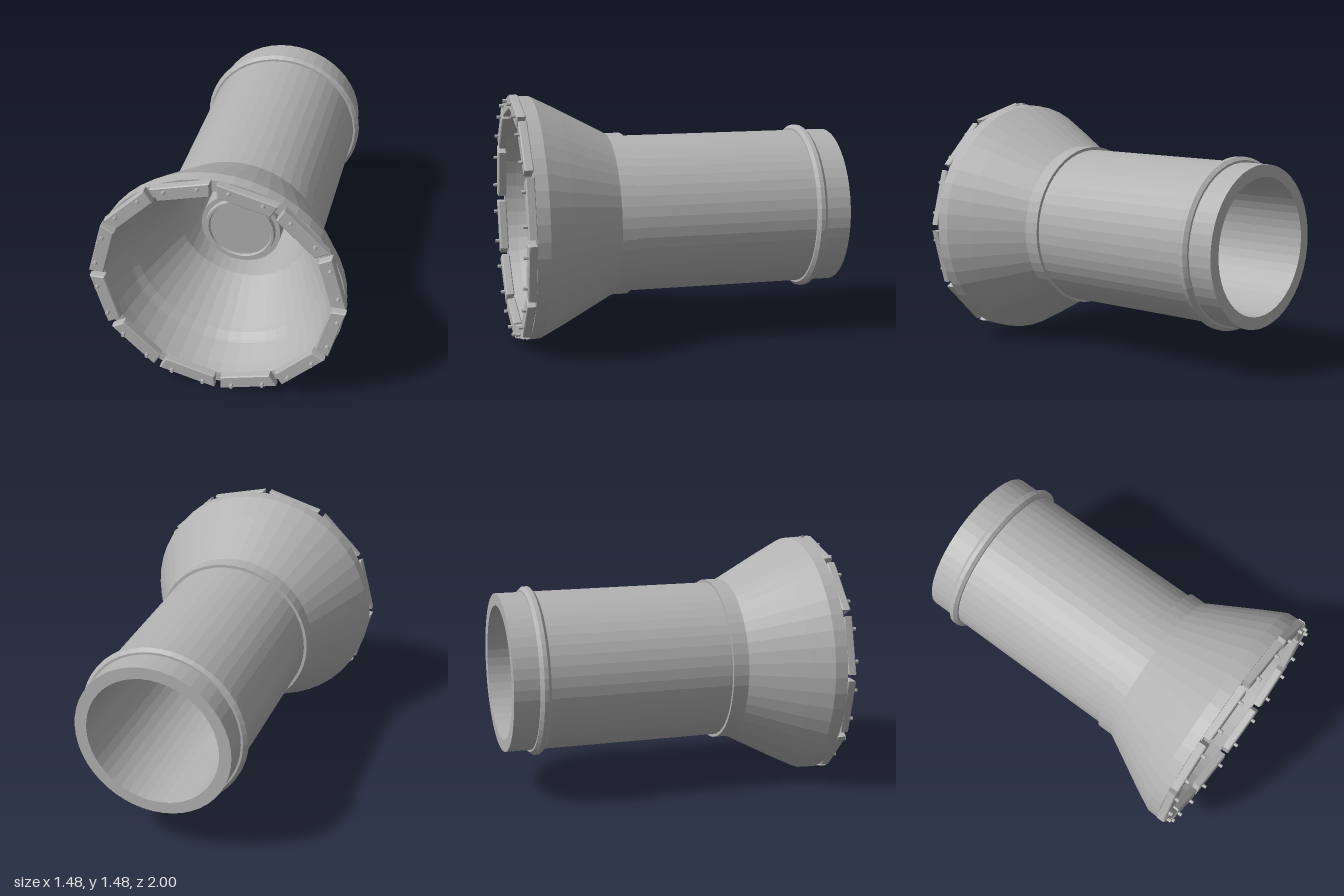
import * as THREE from 'three';

export function createModel() {
  const model = new THREE.Group();
  const metal = new THREE.MeshStandardMaterial({ color: 0xb2b2b2, flatShading: true });
  metal.name = 'grey metal';

  // everything is arranged around the z axis, then lifted onto the ground
  const body = new THREE.Group();
  body.name = 'ductBody';
  body.position.y = 0.742;
  model.add(body);

  // profile given as [radius, z]; outside runs forward, inside runs back
  function turned(name, profile, segments = 48) {
    const geo = new THREE.LatheGeometry(profile.map(p => new THREE.Vector2(...p)), segments);
    geo.rotateX(Math.PI / 2);
    const mesh = new THREE.Mesh(geo, metal);
    mesh.name = name;
    body.add(mesh);
  }

  // hollow tube with flared mouth and stepped interior
  turned('tubeAndFlare', [
    [0.4, -1], [0.472, -1], [0.472, 0.305], [0.49, 0.305], [0.49, 0.4],
    [0.655, 0.71], [0.725, 0.85], [0.728, 0.925],
    [0.66, 0.925], [0.645, 0.86], [0.6, 0.72], [0.592, 0.705],
    [0.562, 0.665], [0.552, 0.64], [0.4, 0.32], [0.4, -1],
  ]);

  // raised band near the back end
  turned('rearBand', [
    [0.47, -0.85], [0.485, -0.85], [0.504, -0.83], [0.504, -0.805], [0.485, -0.787], [0.47, -0.787],
  ]);

  // central plug with a raised lip around its face
  turned('centrePlug', [
    [0, 0.12], [0.24, 0.12], [0.24, 0.375], [0.212, 0.375], [0.206, 0.4],
    [0.19, 0.4], [0.184, 0.385], [0, 0.385],
  ]);

  // one bevelled clamp plate, its ends parallel to the gaps beside it
  const bevel = 0.006;
  const halfLength = d => d * Math.tan(Math.PI / 12) - 0.019 - bevel;
  const inner = 0.635 + bevel, outer = 0.72 - bevel;
  const plate = new THREE.Shape([
    new THREE.Vector2(-halfLength(inner), inner),
    new THREE.Vector2(halfLength(inner), inner),
    new THREE.Vector2(halfLength(outer), outer),
    new THREE.Vector2(-halfLength(outer), outer),
  ]);
  const plateGeo = new THREE.ExtrudeGeometry(plate, {
    depth: 0.04, bevelEnabled: true, bevelSize: bevel, bevelThickness: bevel, bevelSegments: 1,
  });
  plateGeo.translate(0, 0, 0.929);
  const boltGeo = new THREE.CylinderGeometry(0.011, 0.011, 0.03, 8).rotateX(Math.PI / 2);

  // twelve plates around the mouth, two bolts on each
  for (let i = 0; i < 12; i++) {
    const clamp = new THREE.Group();
    clamp.name = 'clampPlate' + (i + 1);
    clamp.rotation.z = (i + 0.5) * Math.PI / 6;
    const slab = new THREE.Mesh(plateGeo, metal);
    slab.name = 'plate';
    clamp.add(slab);
    for (const side of [-1, 1]) {
      const bolt = new THREE.Mesh(boltGeo, metal);
      bolt.name = 'bolt';
      bolt.position.set(side * 0.096, 0.693, 0.985);
      clamp.add(bolt);
    }
    body.add(clamp);
  }

  // small locating tabs on the rim, in the gaps between plates
  const tabGeo = new THREE.BoxGeometry(0.03, 0.05, 0.008);
  for (let i = 0; i < 12; i++) {
    const pivot = new THREE.Group();
    pivot.name = 'rimTab' + (i + 1);
    pivot.rotation.z = i * Math.PI / 6;
    const tab = new THREE.Mesh(tabGeo, metal);
    tab.name = 'tab';
    tab.position.set(0, 0.69, 0.926);
    pivot.add(tab);
    body.add(pivot);
  }

  return model;
}
